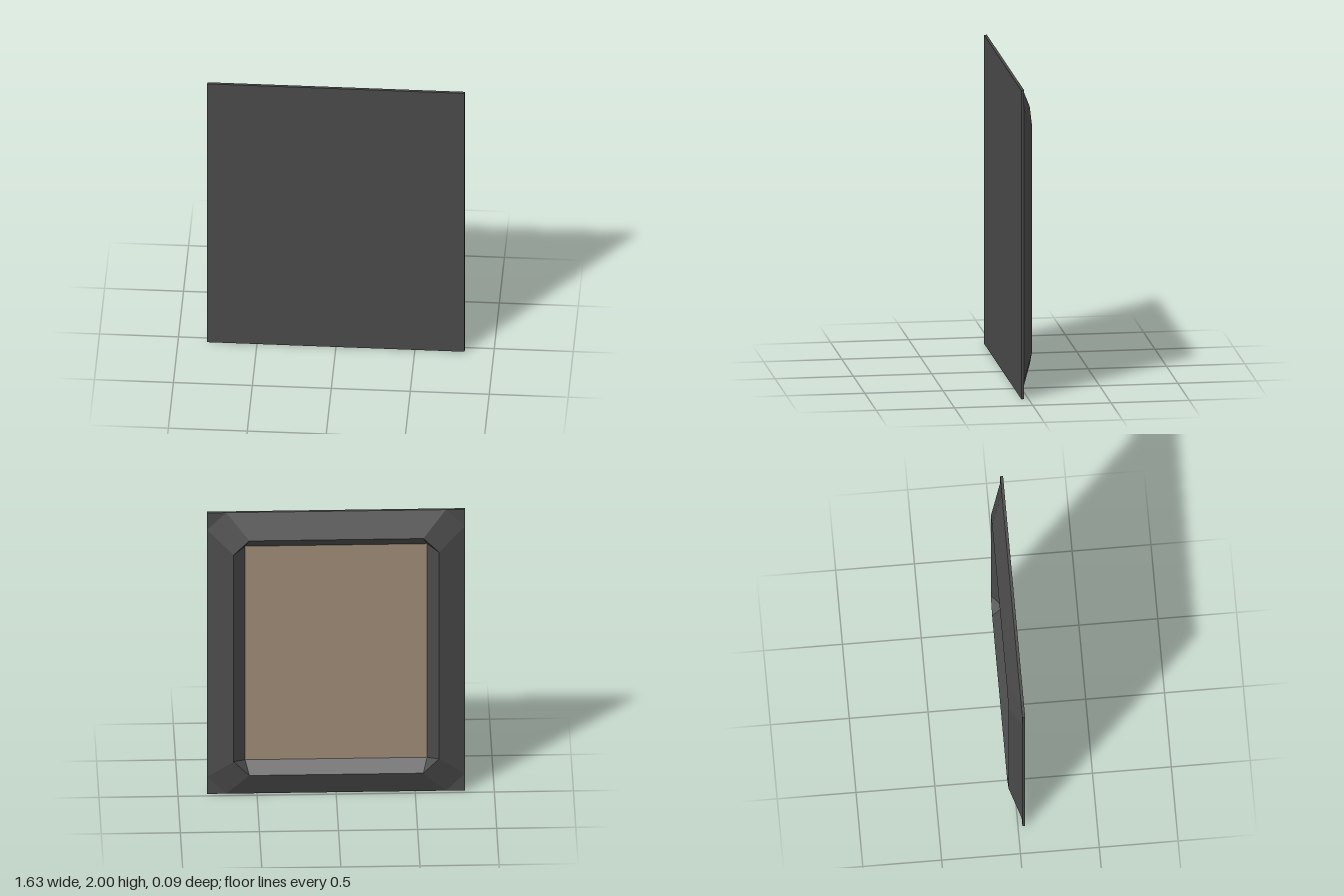
import * as THREE from 'three';

const W = 0.815, H = 1.0;          // half width and half height
const FRONT = 0.046, RIM = 0.028, RIDGE = -0.046;
const PANEL_Z = 0.027;

// Eight points round a rectangle with each corner cut by c (0 keeps it square)
function loop(inset, c, z) {
  const w = W - inset, h = H - inset;
  return [
    [w, h - c], [w - c, h], [-w + c, h], [-w, h - c],
    [-w, -h + c], [-w + c, -h], [w - c, -h], [w, -h + c],
  ].map(([x, y]) => new THREE.Vector3(x, y + H, z));
}

// Skin consecutive loops with flat facets, leaving out zero-area triangles
function skin(loops) {
  const pos = [];
  const tri = (a, b, c) => {
    const area = b.clone().sub(a).cross(c.clone().sub(a)).length();
    if (area > 1e-7) pos.push(...a.toArray(), ...b.toArray(), ...c.toArray());
  };
  for (let l = 0; l < loops.length - 1; l++) {
    const p = loops[l], q = loops[l + 1];
    for (let i = 0; i < 8; i++) {
      const j = (i + 1) % 8;
      tri(p[i], q[i], q[j]);
      tri(p[i], q[j], p[j]);
    }
  }
  const g = new THREE.BufferGeometry();
  g.setAttribute('position', new THREE.Float32BufferAttribute(pos, 3));
  g.computeVertexNormals();
  return g;
}

export function createModel() {
  const model = new THREE.Group();
  const dark = new THREE.MeshStandardMaterial({ color: 0x4a4a4a, flatShading: true });
  const tan = new THREE.MeshStandardMaterial({ color: 0x9c8a76 });

  const add = (name, geometry, material) => {
    const mesh = new THREE.Mesh(geometry, material);
    mesh.name = name;
    model.add(mesh);
    return mesh;
  };

  // Bevelled frame: thin rim, slope up to a ridge with cut corners, slope in to the panel
  add('frame', skin([
    loop(0, 0, FRONT),
    loop(0, 0, RIM),
    loop(0, 0.12, RIM),
    loop(0.165, 0.1, RIDGE),
    loop(0.24, 0, PANEL_Z),
  ]), dark);

  // Flat sheet closing the +z side
  add('backingBoard', new THREE.PlaneGeometry(2 * W, 2 * H), dark).position.set(0, H, FRONT);

  // Picture surface sunk inside the frame, facing -z
  const panel = add('picturePanel', new THREE.PlaneGeometry(2 * (W - 0.24), 2 * (H - 0.24)), tan);
  panel.position.set(0, H, PANEL_Z);
  panel.rotation.y = Math.PI;

  return model;
}
